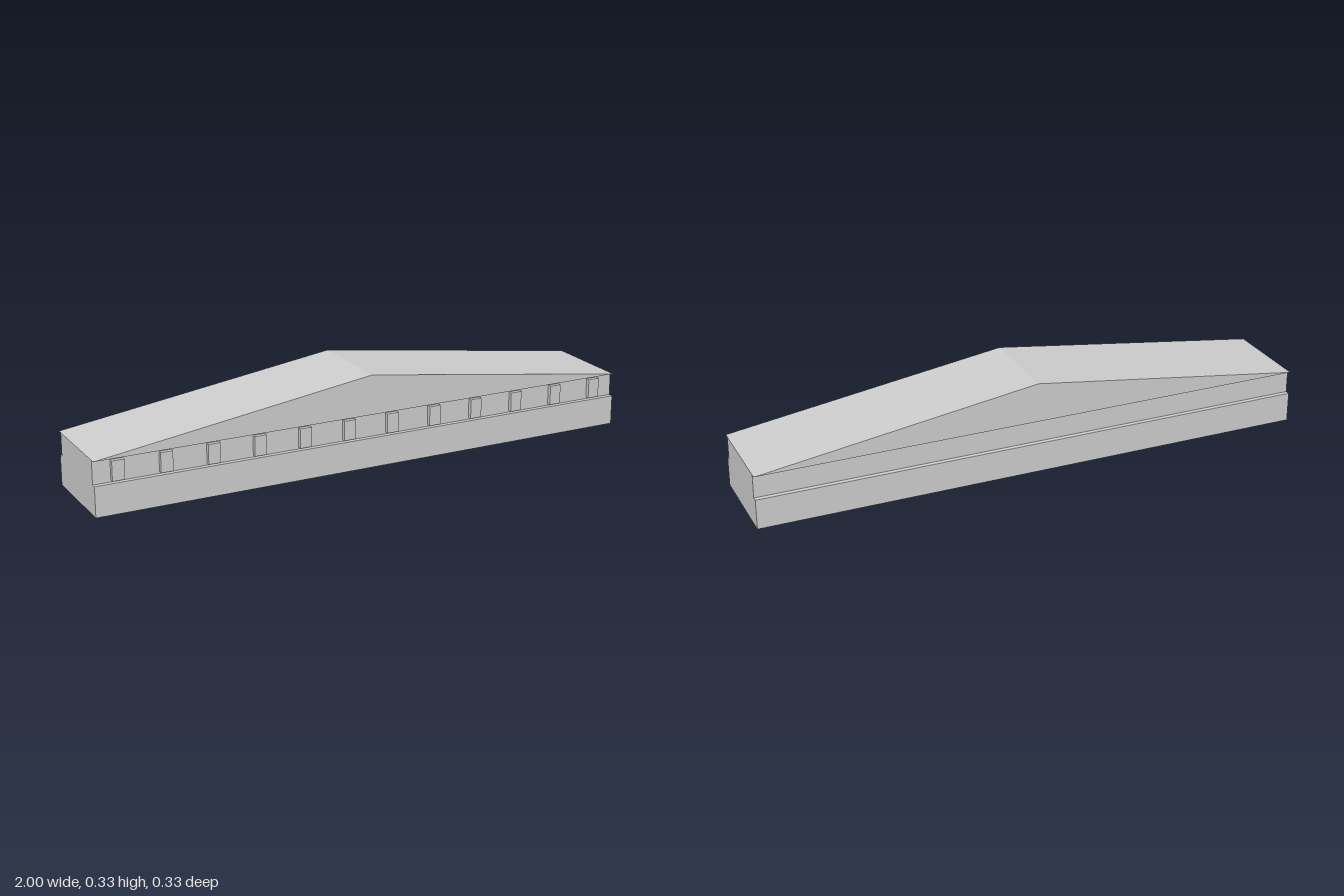
import * as THREE from 'three';

export function createModel() {
  const group = new THREE.Group();
  const stone = new THREE.MeshStandardMaterial({ color: 0xcccccc });
  stone.name = 'pale grey stone';

  const add = (name, geometry, x, y, z) => {
    const mesh = new THREE.Mesh(geometry, stone);
    mesh.name = name;
    mesh.position.set(x, y, z);
    group.add(mesh);
  };
  // Box placed by its height range
  const slab = (name, w, y0, y1, d, x = 0, z = 0) =>
    add(name, new THREE.BoxGeometry(w, y1 - y0, d), x, (y0 + y1) / 2, z);

  // Base and recessed frieze
  slab('base', 2, 0, 0.107, 0.333);
  slab('frieze', 2, 0.107, 0.191, 0.299);

  // Row of raised blocks along the front of the frieze
  for (let i = 0; i < 12; i++) {
    slab('friezeBlock', 0.043, 0.113, 0.183, 0.015, (i - 5.5) / 6, 0.157);
  }

  // Triangular pediment
  const gable = new THREE.Shape([
    new THREE.Vector2(-1, 0),
    new THREE.Vector2(1, 0),
    new THREE.Vector2(0, 0.142),
  ]);
  const roof = new THREE.ExtrudeGeometry(gable, { depth: 0.333, bevelEnabled: false });
  add('pediment', roof, 0, 0.191, -0.1665);

  return group;
}
